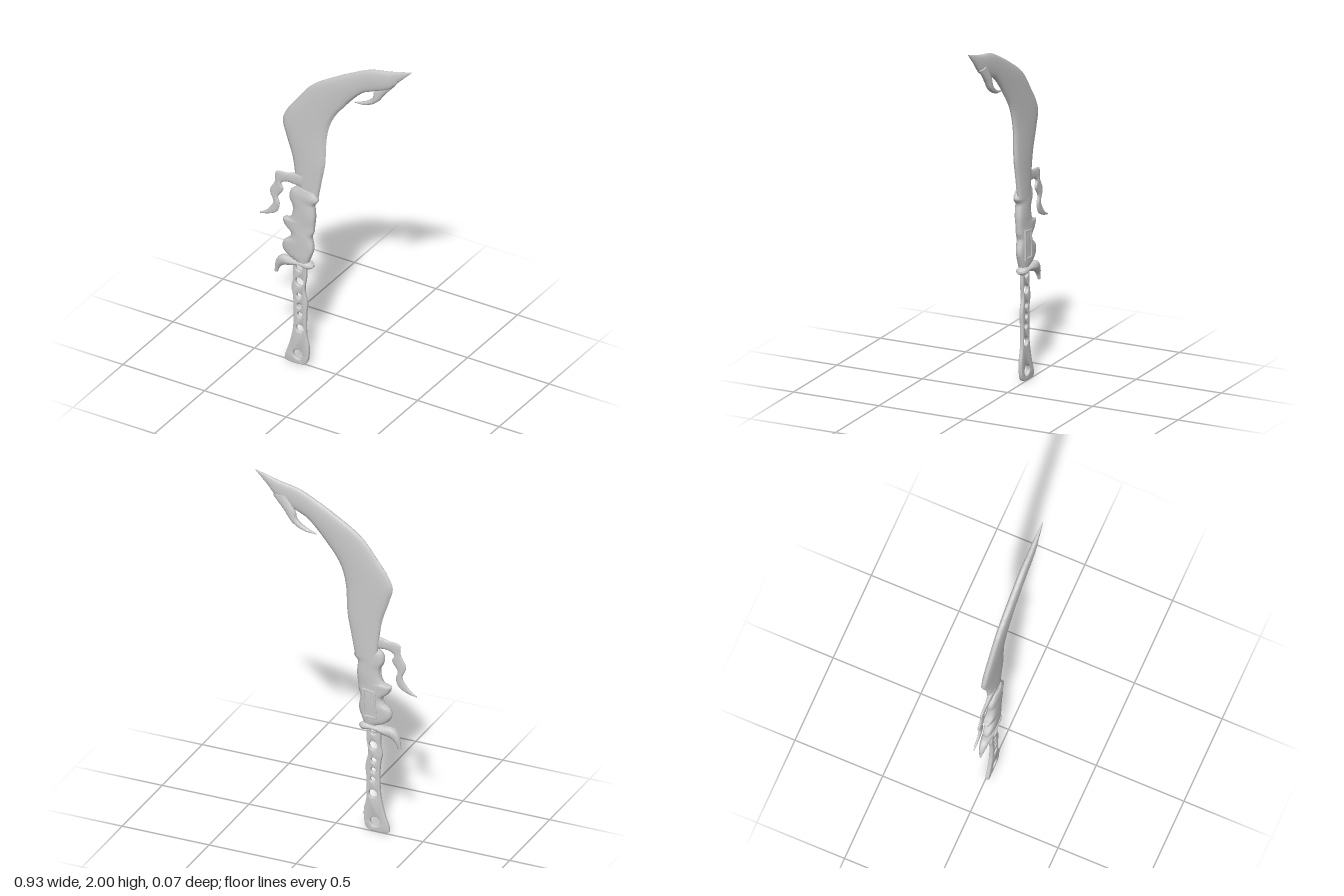
import * as THREE from 'three';
import { toCreasedNormals } from 'three/addons/utils/BufferGeometryUtils.js';

const material = new THREE.MeshStandardMaterial({ color: 0xcccccc });
const SIDES = 20;

// Loft through rows [leftX, leftY, rightX, rightY, halfThickness], left and right
// as seen along the direction of travel. A small power gives flatter broad faces.
function loft(name, rows, z, power, steps = 60) {
  const curve = (i) => new THREE.CatmullRomCurve3(
    rows.map((r) => new THREE.Vector3(r[i], r[i + 1], r[4])), false, 'centripetal');
  const left = curve(0), right = curve(2);
  // sample both edges by row so that they stay paired
  const pos = [], idx = [];
  for (let i = 0; i <= steps; i++) {
    const l = left.getPoint(i / steps), r = right.getPoint(i / steps);
    const t = Math.max(0.001, (l.z + r.z) / 2);
    for (let j = 0; j < SIDES; j++) {
      const a = (j / SIDES) * Math.PI * 2, s = Math.sin(a), u = (Math.cos(a) + 1) / 2;
      pos.push(l.x + (r.x - l.x) * u, l.y + (r.y - l.y) * u,
        z + t * Math.sign(s) * Math.pow(Math.abs(s), power));
    }
  }
  const ring = (i, j) => i * SIDES + (j % SIDES);
  for (let i = 0; i < steps; i++) {
    for (let j = 0; j < SIDES; j++) {
      idx.push(ring(i, j), ring(i + 1, j), ring(i, j + 1));
      idx.push(ring(i, j + 1), ring(i + 1, j), ring(i + 1, j + 1));
    }
  }
  // end caps
  for (let j = 1; j < SIDES - 1; j++) {
    idx.push(ring(0, 0), ring(0, j), ring(0, j + 1));
    idx.push(ring(steps, 0), ring(steps, j + 1), ring(steps, j));
  }
  const geo = new THREE.BufferGeometry();
  geo.setAttribute('position', new THREE.Float32BufferAttribute(pos, 3));
  geo.setIndex(idx);
  return mesh(name, toCreasedNormals(geo, 0.9));
}

function mesh(name, geo) {
  const m = new THREE.Mesh(geo, material);
  m.name = name;
  return m;
}

// Flat plate with softened rims
function plate(name, shape, z0, z1, bevel) {
  const geo = new THREE.ExtrudeGeometry(shape, {
    depth: z1 - z0 - 2 * bevel, bevelThickness: bevel, bevelSize: bevel,
    bevelOffset: -bevel, bevelSegments: 3, curveSegments: 20,
  });
  geo.translate(0, 0, z0 + bevel);
  return mesh(name, toCreasedNormals(geo, 0.6));
}

function handle() {
  const outline = [
    [-0.255, 0.52], [-0.265, 0.467], [-0.255, 0.414], [-0.25, 0.334], [-0.255, 0.218],
    [-0.276, 0.122], [-0.302, 0.042], [-0.3, 0.01], [-0.255, 0.003], [-0.19, 0.01],
    [-0.165, 0.042], [-0.16, 0.122], [-0.175, 0.2], [-0.175, 0.308], [-0.17, 0.387],
    [-0.185, 0.467], [-0.175, 0.546], [-0.175, 0.63],
  ].map(([x, y]) => new THREE.Vector2(x, y));
  const shape = new THREE.Shape();
  shape.moveTo(-0.255, 0.63);
  shape.splineThru(outline);
  shape.closePath();
  // finger-grip holes
  for (const [x, y, r] of [
    [-0.217, 0.594, 0.021], [-0.215, 0.509, 0.025], [-0.217, 0.422, 0.016],
    [-0.215, 0.363, 0.016], [-0.212, 0.308, 0.016], [-0.212, 0.223, 0.024],
    [-0.225, 0.061, 0.029],
  ]) {
    shape.holes.push(new THREE.Path().absarc(x, y, r, 0, Math.PI * 2, true));
  }
  return plate('handle', shape, -0.002, 0.018, 0.004);
}

// Raised rectangular frame on the back of the sleeve
function backFrame() {
  const rect = (p, inset) => {
    const c = [[-0.245, 0.68], [-0.165, 0.68], [-0.16, 0.85], [-0.235, 0.84]];
    p.setFromPoints(c.map(([x, y]) => new THREE.Vector2(
      x + (x < -0.2 ? inset : -inset), y + (y < 0.75 ? inset : -inset))));
    return p;
  };
  const shape = rect(new THREE.Shape(), 0);
  shape.holes.push(rect(new THREE.Path(), 0.012));
  return plate('backFrame', shape, -0.025, -0.01, 0.002);
}

export function createModel() {
  const group = new THREE.Group();
  group.name = 'curvedSword';

  // Broad sweeping blade, from the sleeve to the tip
  group.add(loft('blade', [
    [-0.24, 1.03, -0.115, 1.03, 0.019], [-0.253, 1.16, -0.09, 1.16, 0.02],
    [-0.27, 1.263, -0.07, 1.263, 0.021], [-0.31, 1.385, -0.065, 1.36, 0.021],
    [-0.33, 1.465, -0.06, 1.43, 0.021], [-0.305, 1.53, -0.042, 1.51, 0.021],
    [-0.255, 1.6, -0.01, 1.58, 0.021], [-0.15, 1.73, 0.05, 1.66, 0.021],
    [0, 1.83, 0.12, 1.742, 0.021], [0.105, 1.888, 0.165, 1.782, 0.02],
    [0.207, 1.936, 0.22, 1.808, 0.019], [0.33, 1.963, 0.33, 1.86, 0.016],
    [0.4, 1.983, 0.39, 1.925, 0.01], [0.463, 2, 0.458, 1.993, 0.002],
  ], -0.006, 0.7, 100));

  // Barb curling back beneath the tip
  group.add(loft('tipBarb', [
    [0.355, 1.88, 0.28, 1.89, 0.012], [0.29, 1.805, 0.225, 1.803, 0.017],
    [0.245, 1.745, 0.217, 1.766, 0.017], [0.18, 1.707, 0.17, 1.726, 0.014],
    [0.106, 1.696, 0.104, 1.702, 0.003],
  ], -0.017, 0.8));

  // Spiked sleeve around the blade root
  group.add(loft('sleeve', [
    [-0.235, 0.635, -0.165, 0.635, 0.022], [-0.28, 0.653, -0.147, 0.68, 0.026],
    [-0.318, 0.69, -0.133, 0.72, 0.027], [-0.316, 0.732, -0.133, 0.75, 0.028],
    [-0.276, 0.77, -0.14, 0.78, 0.028], [-0.268, 0.8, -0.143, 0.8, 0.028],
    [-0.306, 0.838, -0.13, 0.835, 0.027], [-0.318, 0.873, -0.127, 0.865, 0.027],
    [-0.28, 0.885, -0.125, 0.89, 0.027], [-0.26, 0.92, -0.122, 0.93, 0.028],
    [-0.257, 0.97, -0.125, 0.97, 0.028], [-0.277, 1.015, -0.127, 1, 0.028],
    [-0.27, 1.06, -0.104, 1.035, 0.028], [-0.233, 1.09, -0.13, 1.075, 0.022],
  ], 0.006, 0.6, 100));
  group.add(backFrame());

  // Wavy tendril hanging off the blunt side
  group.add(loft('tendril', [
    [-0.2, 1.085, -0.2, 1.17, 0.014], [-0.25, 1.092, -0.255, 1.158, 0.012],
    [-0.3, 1.092, -0.3, 1.146, 0.009], [-0.335, 1.07, -0.365, 1.135, 0.008],
    [-0.323, 1.035, -0.372, 1.075, 0.008], [-0.355, 0.98, -0.403, 1.01, 0.008],
    [-0.345, 0.94, -0.382, 0.945, 0.008], [-0.36, 0.89, -0.414, 0.892, 0.007],
    [-0.41, 0.861, -0.44, 0.868, 0.006], [-0.463, 0.847, -0.465, 0.855, 0.003],
  ], 0.002, 0.6, 80));

  // Hooked crossguard
  group.add(loft('guard', [
    [-0.137, 0.613, -0.137, 0.628, 0.012], [-0.16, 0.602, -0.163, 0.642, 0.03],
    [-0.215, 0.612, -0.215, 0.638, 0.032], [-0.27, 0.592, -0.27, 0.638, 0.029],
    [-0.32, 0.575, -0.33, 0.635, 0.022], [-0.345, 0.55, -0.362, 0.6, 0.015],
    [-0.356, 0.521, -0.376, 0.519, 0.006],
  ], 0.001, 0.8));

  group.add(handle());
  return group;
}
